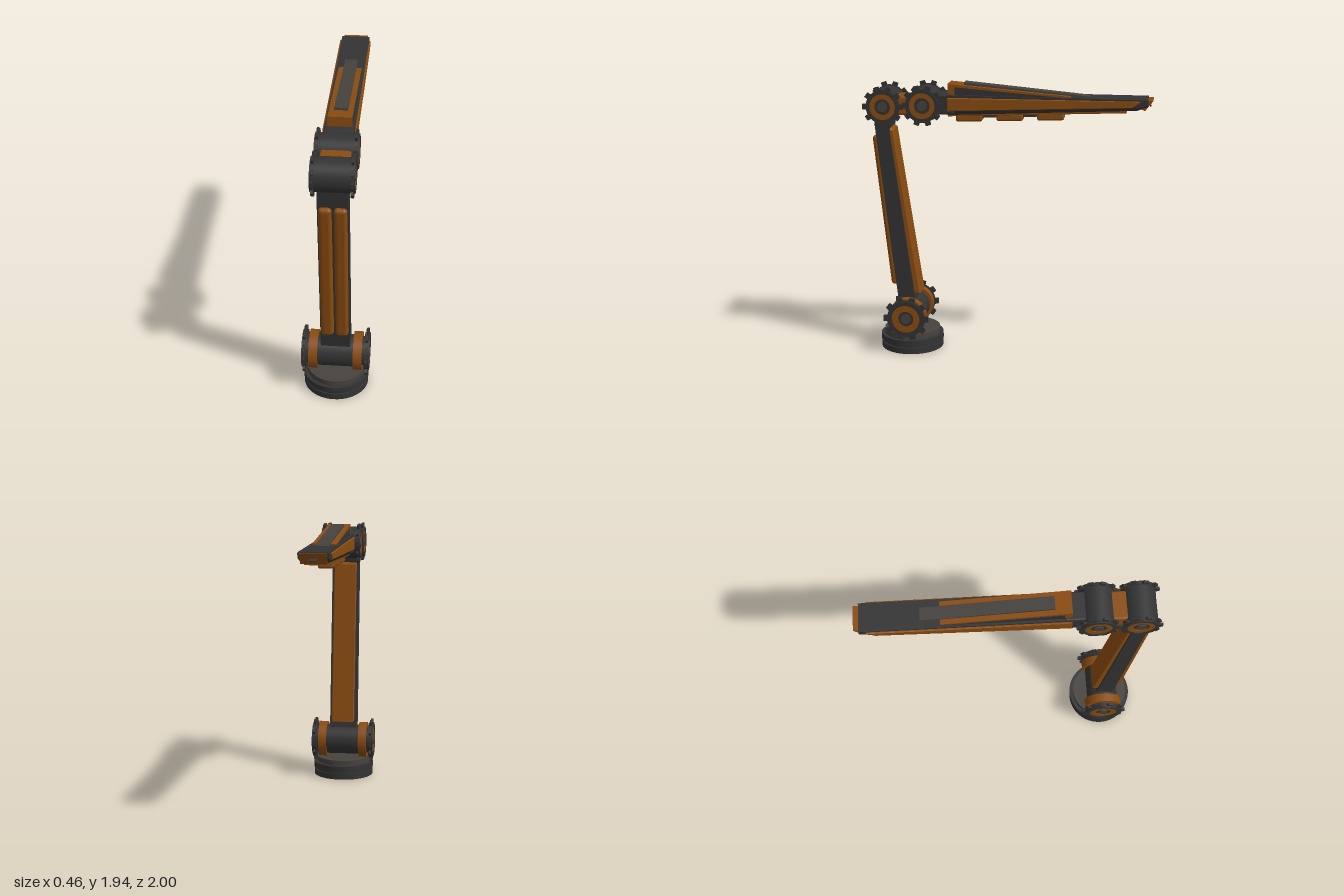
import * as THREE from 'three';
import { RoundedBoxGeometry } from 'three/addons/geometries/RoundedBoxGeometry.js';
import { ConvexGeometry } from 'three/addons/geometries/ConvexGeometry.js';

const material = (color) => new THREE.MeshStandardMaterial({ color });
const orange = material(0x8a4c10), dark = material(0x333333), grey = material(0x46423e);

function add(parent, name, geometry, mat, x = 0, y = 0, z = 0) {
  const mesh = new THREE.Mesh(geometry, mat);
  mesh.name = name;
  mesh.position.set(x, y, z);
  parent.add(mesh);
  return mesh;
}

// Cylinder lying along x
const axle = (r, width, r2 = r) => new THREE.CylinderGeometry(r2, r, width, 40).rotateZ(-Math.PI / 2);

// Extrude a [z, y] side profile across x, centred on x = 0
function slab(points, width, bevel = 0) {
  const shape = new THREE.Shape(points.map(([z, y]) => new THREE.Vector2(z, y)));
  const depth = width - 2 * bevel;
  return new THREE.ExtrudeGeometry(shape, {
    depth, bevelEnabled: bevel > 0, bevelSize: bevel, bevelOffset: -bevel, bevelThickness: bevel, bevelSegments: 1,
  }).translate(0, 0, -depth / 2).rotateY(-Math.PI / 2);
}

// Gear plate across x, with a round hole
function gear(rim, tip, hole, width, teeth = 10) {
  const points = [];
  for (let i = 0; i < teeth; i++) {
    for (const [r, f] of [[rim, -0.5], [rim, -0.27], [tip, -0.2], [tip, 0.2], [rim, 0.27]]) {
      const a = ((i + f) / teeth) * Math.PI * 2;
      points.push(new THREE.Vector2(r * Math.cos(a), r * Math.sin(a)));
    }
  }
  const shape = new THREE.Shape(points);
  shape.holes.push(new THREE.Path().absarc(0, 0, hole, 0, Math.PI * 2, true));
  return new THREE.ExtrudeGeometry(shape, { depth: width, bevelEnabled: false, curveSegments: 24 })
    .translate(0, 0, -width / 2).rotateY(-Math.PI / 2);
}

// Flat ring facing along x
function ring(outer, inner, width) {
  const shape = new THREE.Shape().absarc(0, 0, outer, 0, Math.PI * 2);
  shape.holes.push(new THREE.Path().absarc(0, 0, inner, 0, Math.PI * 2, true));
  return new THREE.ExtrudeGeometry(shape, { depth: width, bevelEnabled: false, curveSegments: 24 })
    .translate(0, 0, -width / 2).rotateY(-Math.PI / 2);
}

// Toothed cap on one side of a joint; x is the middle of the gear plate
function jointCap(parent, side, x, s) {
  const cap = new THREE.Group();
  cap.name = side > 0 ? 'leftJointCap' : 'rightJointCap';
  cap.position.x = side * x;
  add(cap, 'gearPlate', gear(s.rim, s.tip, s.face, 0.016), dark);
  add(cap, 'capRim', ring(s.rim * 0.96, s.face, 0.034), dark);
  add(cap, 'capFace', ring(s.face, s.hub, 0.026), orange);
  add(cap, 'capWell', axle(s.hub, 0.016), dark);
  add(cap, 'axleEnd', axle(s.hub * 0.62, 0.034), grey);
  parent.add(cap);
}

function upperJoint(parent, name, y, z) {
  const joint = new THREE.Group();
  joint.name = name;
  joint.position.set(0, y, z);
  add(joint, 'drum', axle(0.113, 0.23), dark);
  for (const side of [-1, 1]) jointCap(joint, side, 0.125, { rim: 0.118, tip: 0.143, face: 0.09, hub: 0.055 });
  parent.add(joint);
}

// Hull between chamfered cross-sections: [z, top, bottom, half width, half width at the bottom]
function hull(sections) {
  const points = [];
  for (const [z, top, bottom, w, wb] of sections) {
    const shoulder = bottom + (top - bottom) * 0.25;
    for (const s of [-1, 1]) {
      points.push(new THREE.Vector3(s * w, top, z), new THREE.Vector3(s * w, shoulder, z), new THREE.Vector3(s * wb, bottom, z));
    }
  }
  return new ConvexGeometry(points);
}

function buildBase(model) {
  const base = new THREE.Group();
  base.name = 'base';
  const layers = [[0.222, 0, 0.043], [0.21, 0.043, 0.055], [0.225, 0.055, 0.1]];
  for (const [r, y0, y1] of layers) {
    add(base, 'baseDisc', new THREE.CylinderGeometry(r, r, y1 - y0, 48), dark, 0, (y0 + y1) / 2, 0);
  }
  add(base, 'turntable', new THREE.CylinderGeometry(0.2, 0.2, 0.04, 48), grey, 0, 0.12, 0);
  base.position.z = 0.7;
  model.add(base);
}

function buildLowerJoint(model) {
  const joint = new THREE.Group();
  joint.name = 'lowerJoint';
  joint.position.set(0, 0.265, 0.705);
  add(joint, 'drum', axle(0.112, 0.25), dark);
  for (const side of [-1, 1]) {
    add(joint, 'bracketDisc', axle(0.133, 0.06), orange, side * 0.152);
    add(joint, 'spacer', axle(0.1, 0.03), dark, side * 0.19);
    jointCap(joint, side, 0.214, { rim: 0.135, tip: 0.162, face: 0.1, hub: 0.055 });
  }
  model.add(joint);
}

function buildLowerArm(model) {
  const arm = new THREE.Group();
  arm.name = 'lowerArm';
  add(arm, 'beam', slab([[0.645, 0.27], [0.768, 0.27], [0.92, 1.62], [0.93, 1.74], [0.80, 1.74], [0.82, 1.6]], 0.2), dark);
  add(arm, 'backPanel', slab([[0.625, 0.415], [0.67, 0.415], [0.84, 1.6], [0.82, 1.615], [0.797, 1.6]], 0.17, 0.006), orange);
  // Pair of rounded pads on the front
  for (const side of [-1, 1]) {
    const pad = add(arm, 'frontPad', new RoundedBoxGeometry(0.086, 1.09, 0.07, 4, 0.025), orange, side * 0.05, 1.02, 0.853);
    pad.rotation.x = 0.106;
  }
  model.add(arm);
}

function buildLink(model) {
  const link = new THREE.Group();
  link.name = 'elbowLink';
  add(link, 'linkBlock', new RoundedBoxGeometry(0.2, 0.13, 0.26, 2, 0.015), orange, 0, 1.775, 0.72);
  add(link, 'forearmNeck', new RoundedBoxGeometry(0.2, 0.14, 0.2, 2, 0.012), dark, 0, 1.79, 0.46);
  model.add(link);
}

function buildForearm(model) {
  const arm = new THREE.Group();
  arm.name = 'forearm';
  add(arm, 'body', hull([[0.408, 1.855, 1.715, 0.1, 0.08], [-0.965, 1.848, 1.8, 0.1, 0.085], [-0.89, 1.848, 1.772, 0.1, 0.08]]), dark);

  // Side panels
  const sidePanel = [[0.41, 1.838], [0.41, 1.745], [-0.86, 1.793], [-0.92, 1.838]];
  for (const side of [-1, 1]) {
    add(arm, 'sidePanel', slab(sidePanel, 0.03, 0.005), orange, side * 0.096);
  }

  // Raised wedge on top with dark cheeks and a spine
  add(arm, 'topWedge', slab([[0.41, 1.93], [0.41, 1.84], [-0.44, 1.84], [-0.44, 1.858]], 0.16), orange);
  for (const side of [-1, 1]) {
    add(arm, 'wedgeCheek', slab([[0.36, 1.908], [0.36, 1.855], [-0.4, 1.85]], 0.008), dark, side * 0.08);
  }
  add(arm, 'topSpine', slab([[0.3, 1.938], [0.3, 1.89], [-0.57, 1.84], [-0.57, 1.856]], 0.09), grey);

  // Underside panel, rail and pads
  add(arm, 'bottomPanel', slab([[0.41, 1.74], [0.41, 1.705], [-0.82, 1.753], [-0.82, 1.78]], 0.16, 0.004), orange);
  add(arm, 'bottomRail', slab([[0.3, 1.72], [0.3, 1.69], [-0.36, 1.714], [-0.36, 1.74]], 0.07), dark);
  for (let i = 0; i < 3; i++) {
    const pad = add(arm, 'bottomPad', new RoundedBoxGeometry(0.1, 0.05, 0.185, 3, 0.014), orange, 0, 1.69 + i * 0.01, 0.267 - i * 0.283);
    pad.rotation.x = 0.035;
  }

  // Slanted end cap with a dark socket
  add(arm, 'endCap', slab([[-0.94, 1.842], [-0.91, 1.785], [-0.945, 1.772], [-1, 1.842]], 0.17), orange);
  const socket = add(arm, 'endSocket', new THREE.BoxGeometry(0.05, 0.035, 0.008), dark, 0, 1.808, -0.973);
  socket.rotation.x = 0.67;
  model.add(arm);
}

export function createModel() {
  const model = new THREE.Group();
  model.name = 'roboticArm';
  buildBase(model);
  buildLowerJoint(model);
  buildLowerArm(model);
  upperJoint(model, 'elbowJoint', 1.77, 0.857);
  upperJoint(model, 'forearmJoint', 1.783, 0.58);
  buildLink(model);
  buildForearm(model);
  return model;
}
